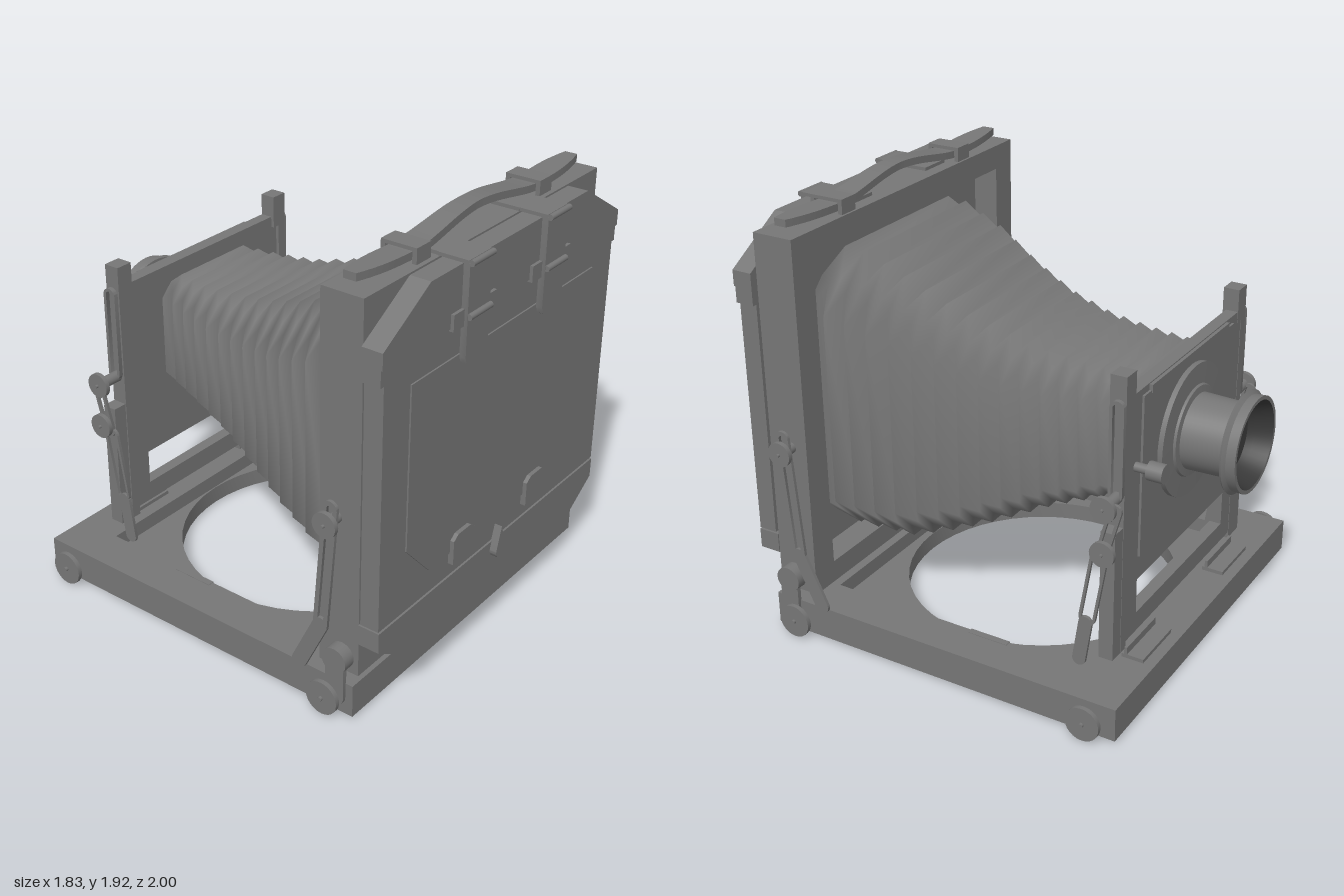
import * as THREE from 'three';
import { toCreasedNormals } from 'three/addons/utils/BufferGeometryUtils.js';

const mat = new THREE.MeshStandardMaterial({ color: 0x767676 });
const cloth = new THREE.MeshStandardMaterial({ color: 0x7a7a7a, side: THREE.DoubleSide });
const glass = new THREE.MeshStandardMaterial({ color: 0x383838 });

export function createModel() {
  const root = new THREE.Group();
  const add = (name, geo, x = 0, y = 0, z = 0, material = mat) => {
    const m = new THREE.Mesh(geo, material);
    m.name = name;
    m.position.set(x, y, z);
    root.add(m);
    return m;
  };
  // box given by its limits on each axis
  const box = (name, x0, x1, y0, y1, z0, z1) =>
    add(name, new THREE.BoxGeometry(Math.abs(x1 - x0), y1 - y0, z1 - z0), (x0 + x1) / 2, (y0 + y1) / 2, (z0 + z1) / 2);
  const poly = (pts) => new THREE.Shape(pts.map((p) => new THREE.Vector2(p[0], p[1])));
  const rect = (x0, x1, y0, y1) => poly([[x0, y0], [x1, y0], [x1, y1], [x0, y1]]);
  const extrude = (shape, depth) =>
    new THREE.ExtrudeGeometry(shape, { depth, bevelEnabled: false, curveSegments: 24 });
  // upright plate facing z
  const plate = (name, shape, z0, z1, ...holes) => {
    shape.holes.push(...holes);
    return add(name, toCreasedNormals(extrude(shape, z1 - z0), 0.5), 0, 0, z0);
  };
  // lying plate; the shape's y is -z
  const slab = (name, shape, y0, y1, hole) => {
    shape.holes.push(hole);
    return add(name, toCreasedNormals(extrude(shape, y1 - y0).rotateX(-Math.PI / 2), 0.5), 0, y0, 0);
  };
  // disc or rod along x
  const discX = (name, r, x0, x1, y, z) =>
    add(name, new THREE.CylinderGeometry(r, r, Math.abs(x1 - x0), 24).rotateZ(Math.PI / 2), (x0 + x1) / 2, y, z);
  const capsule = (C, len, r) => {
    const c = new C();
    c.absarc(0, 0, r, Math.PI, Math.PI * 2, false);
    c.lineTo(r, len);
    c.absarc(0, len, r, 0, Math.PI, false);
    c.closePath();
    return c;
  };
  // flat metal link between two (z, y) points, optionally slotted
  const link = (name, x, [za, ya], [zb, yb], r, slot = 0, t = 0.014) => {
    const len = Math.hypot(zb - za, yb - ya);
    const s = capsule(THREE.Shape, len, r);
    if (slot) s.holes.push(capsule(THREE.Path, len, slot));
    const g = extrude(s, t).translate(0, 0, -t / 2);
    g.rotateZ(-Math.atan2(zb - za, yb - ya)).rotateY(-Math.PI / 2);
    return add(name, toCreasedNormals(g, 0.5), x, ya, za);
  };
  // stem, disc and a small tip
  const knob = (name, s, x0, x1, y, z, r) => {
    discX(name + 'Stem', r * 0.45, s * x0, s * (x1 - 0.03), y, z);
    discX(name, r, s * (x1 - 0.032), s * (x1 - 0.012), y, z);
    discX(name + 'Tip', r * 0.13, s * (x1 - 0.015), s * x1, y, z);
  };

  // Bed: thin floor with a round opening, and a raised rim
  const circle = new THREE.Path().absarc(0, 0, 0.615, 0, Math.PI * 2, false);
  slab('bedFloor', rect(-0.855, 0.855, -0.85, 0.83), 0.02, 0.1, circle);
  slab('bedRim', rect(-0.855, 0.855, -0.85, 0.83), 0.1, 0.17, rect(-0.67, 0.67, -0.65, 0.62));

  // Rear frame with its inner panel
  plate('rearFrame', rect(-0.82, 0.82, 0.2, 1.83), 0.66, 0.85, rect(-0.69, 0.69, 0.3, 1.72));
  box('rearFramePanel', -0.7, 0.7, 0.29, 1.73, 0.78, 0.84);

  // Back door with clipped corners, split from the board below it
  plate('backPanel', poly([[-0.825, 0.458], [0.825, 0.458], [0.825, 1.52], [0.845, 1.52],
    [0.845, 1.66], [0.56, 1.83], [-0.56, 1.83], [-0.845, 1.66], [-0.845, 1.52], [-0.825, 1.52]]), 0.86, 0.945);
  plate('backPanelTop', poly([[-0.845, 1.59], [0.845, 1.59], [0.845, 1.66], [0.56, 1.83], [-0.56, 1.83],
    [-0.845, 1.66]]), 0.94, 0.952);
  plate('backPanelBottom', poly([[-0.57, 0.2], [0.57, 0.2], [0.825, 0.36], [0.825, 0.45], [-0.825, 0.45],
    [-0.825, 0.36]]), 0.85, 0.948);
  plate('focusScreen', poly([[-0.5, 0.57], [0.5, 0.57], [0.66, 0.74], [0.66, 1.46], [-0.66, 1.46],
    [-0.66, 0.74]]), 0.94, 0.952);

  // Latches on the door
  for (const s of [-1, 1]) {
    const cx = s * 0.277;
    const tongue = poly([[0.076, 1.835], [-0.076, 1.835], [-0.076, 1.45], [-0.066, 1.422], [-0.045, 1.41],
      [0.045, 1.41], [0.066, 1.422], [0.076, 1.45]]);
    plate('latch', tongue, 0.952, 0.98).position.x = cx;
    box('latchTop', cx - 0.076, cx + 0.076, 1.83, 1.845, 0.84, 0.975);
    for (const y of [1.62, 1.835]) discX('latchRoll', 0.013, cx - 0.074, cx + 0.074, y, 0.985);
    box('latchPlate', cx - 0.145, cx + 0.145, 1.58, 1.65, 0.945, 0.966);
    plate('lowerTab', poly([[-0.076, 0.52], [0.076, 0.52], [0.076, 0.63], [0.045, 0.652], [-0.045, 0.652],
      [-0.076, 0.63]]), 0.945, 0.97).position.x = cx;
  }
  // Teardrop pull
  const drop = new THREE.Shape();
  drop.moveTo(0, 0.525);
  drop.quadraticCurveTo(0.018, 0.47, 0.035, 0.42);
  drop.absarc(0, 0.41, 0.035, 0, -Math.PI, true);
  drop.quadraticCurveTo(-0.018, 0.47, 0, 0.525);
  plate('doorPull', drop, 0.945, 0.98);

  // Carrying strap: a long box bent along a wave
  const strap = new THREE.BoxGeometry(1.54, 0.032, 1, 48, 1, 2);
  const sp = strap.attributes.position;
  for (let i = 0; i < sp.count; i++) {
    const x = sp.getX(i), a = Math.abs(x);
    const wave = a < 0.47 ? 0.026 * (1 + Math.cos(Math.PI * a / 0.47)) : 0.015 * (a - 0.47) / 0.3;
    const half = a < 0.55 ? 0.04 + 0.014 * Math.min(1, a / 0.35) : 0.054 - 0.026 * ((a - 0.55) / 0.22) ** 2;
    sp.setY(i, sp.getY(i) + 1.857 + wave);
    sp.setZ(i, 0.75 + sp.getZ(i) * 2 * half);
  }
  strap.computeVertexNormals();
  add('carryStrap', toCreasedNormals(strap, 0.6));
  for (const s of [-1, 1]) {
    const x = s * 0.43;
    box('strapBracketTop', x - 0.045, x + 0.045, 1.88, 1.895, 0.67, 0.83);
    for (const z of [0.67, 0.81]) box('strapBracketLeg', x - 0.045, x + 0.045, 1.83, 1.89, z, z + 0.02);
    box('strapBase', s * 0.2, s * 0.35, 1.83, 1.845, 0.72, 0.85);
  }

  // Bellows: clipped rectangular rings; sides fold out where top and bottom fold in
  const lerpTable = (tab, t) => {
    const f = Math.min(t, 0.9999) * (tab.length - 1), i = Math.floor(f);
    return tab[i] + (tab[i + 1] - tab[i]) * (f - i);
  };
  const tops = [1.66, 1.57, 1.46, 1.38, 1.33, 1.31, 1.31];
  const bottoms = [0.33, 0.34, 0.41, 0.5, 0.61, 0.7, 0.76];
  const widths = [0.625, 0.59, 0.52, 0.445, 0.39, 0.35, 0.295];
  const folds = 32, pos = [], index = [];
  for (let i = 0; i <= folds; i++) {
    const u = i / folds, t = u * (1.12 - 0.12 * u);
    const z = 0.78 - 1.4 * t;
    const k = THREE.MathUtils.clamp((0.65 - z) / 1.27, 0, 1);
    const amp = 0.105 - 0.072 * k, c = 0.13 - 0.07 * k;
    const v = i % 2 ? 0 : amp, h = i % 2 ? amp : 0;
    const top = lerpTable(tops, k) - v, bot = lerpTable(bottoms, k) + v, w = lerpTable(widths, k) - h;
    for (const [x, y] of [[w, bot + c], [w, top - c], [w - c, top], [c - w, top], [-w, top - c], [-w, bot + c],
      [c - w, bot], [w - c, bot]]) pos.push(x, y, z);
    for (let j = 0; j < 8 && i < folds; j++) {
      const a = i * 8 + j, b = i * 8 + (j + 1) % 8;
      index.push(a, a + 8, b, b, a + 8, b + 8);
    }
  }
  const bellows = new THREE.BufferGeometry();
  bellows.setAttribute('position', new THREE.Float32BufferAttribute(pos, 3));
  bellows.setIndex(index);
  bellows.computeVertexNormals();
  add('bellows', bellows, 0, 0, 0, cloth);

  // Front standard
  plate('frontStandard', rect(-0.55, 0.55, 0.24, 1.35), -0.69, -0.635, rect(-0.42, 0.42, 0.33, 0.49));
  plate('lensBoard', rect(-0.42, 0.42, 0.6, 1.32), -0.7, -0.685);
  box('lensBoardCatch', -0.36, 0.36, 1.31, 1.345, -0.705, -0.685);

  // Lens: flat flange, barrel, hood and sunken glass
  const turned = (pts) => toCreasedNormals(
    new THREE.LatheGeometry(pts.map((p) => new THREE.Vector2(...p)), 48).rotateX(-Math.PI / 2), 0.5);
  add('lens', turned([[0.29, 0.69], [0.29, 0.722], [0.2, 0.725], [0.195, 0.735], [0.165, 0.738], [0.16, 0.93],
    [0.215, 0.935], [0.222, 0.945], [0.205, 0.958], [0.207, 1], [0.19, 1]]), 0, 1, 0);
  add('lensGlass', turned([[0.19, 1], [0.165, 0.93], [0.15, 0.9], [0.05, 0.885], [0, 0.88]]), 0, 1, 0, glass);
  const rodZ = (r, len) => new THREE.CylinderGeometry(r, r, len, 20).rotateX(Math.PI / 2);
  add('shutterKnob', rodZ(0.04, 0.07), 0.46, 1.03, -0.785);
  add('shutterStem', rodZ(0.02, 0.09), 0.46, 1.03, -0.725);

  // Hardware mirrored on both sides
  for (const s of [-1, 1]) {
    box('standardPost', s * 0.475, s * 0.555, 1.3, 1.45, -0.692, -0.62);
    box('standardEdge', s * 0.51, s * 0.555, 0.21, 1.35, -0.692, -0.62);
    box('standardUpright', s * 0.555, s * 0.62, 0.21, 0.8, -0.69, -0.625);
    link('riseSlot', s * 0.565, [-0.66, 0.95], [-0.66, 1.32], 0.032, 0.018, 0.02);
    knob('riseKnob', s, 0.55, 0.69, 0.93, -0.66, 0.055);
    knob('tiltKnob', s, 0.6, 0.69, 0.73, -0.66, 0.055);
    link('standardArm', s * 0.64, [-0.548, 0.19], [-0.575, 0.37], 0.03);
    link('standardArmSlot', s * 0.64, [-0.583, 0.4], [-0.63, 0.68], 0.038, 0.026);
    link('standardArmTop', s * 0.64, [-0.64, 0.7], [-0.7, 0.92], 0.028, 0.015);
    box('bedClip', s * 0.26, s * 0.52, 0.165, 0.187, -0.78, -0.68);
    box('bedClipLip', s * 0.26, s * 0.52, 0.17, 0.22, -0.705, -0.692);
    box('bedCatch', s * 0.665, s * 0.695, 0.1, 0.172, -0.23, -0.04);

    // folding stay, hinge and bed knobs
    link('stayUpper', s * 0.865, [0.745, 0.96], [0.7, 0.41], 0.034, 0.014);
    link('stayLower', s * 0.865, [0.7, 0.41], [0.595, 0.19], 0.034);
    knob('stayKnob', s, 0.82, 0.915, 0.9, 0.74, 0.055);
    discX('hinge', 0.058, s * 0.82, s * 0.875, 0.27, 0.77);
    link('hingeLeaf', s * 0.86, [0.77, 0.25], [0.77, 0.1], 0.045, 0, 0.02);
    for (const z of [0.73, -0.705]) knob('bedKnob', s, 0.84, 0.915, 0.085, z, 0.076);
  }

  // Stand on the ground
  const bounds = new THREE.Box3().setFromObject(root);
  for (const m of root.children) m.position.y -= bounds.min.y;
  return root;
}
